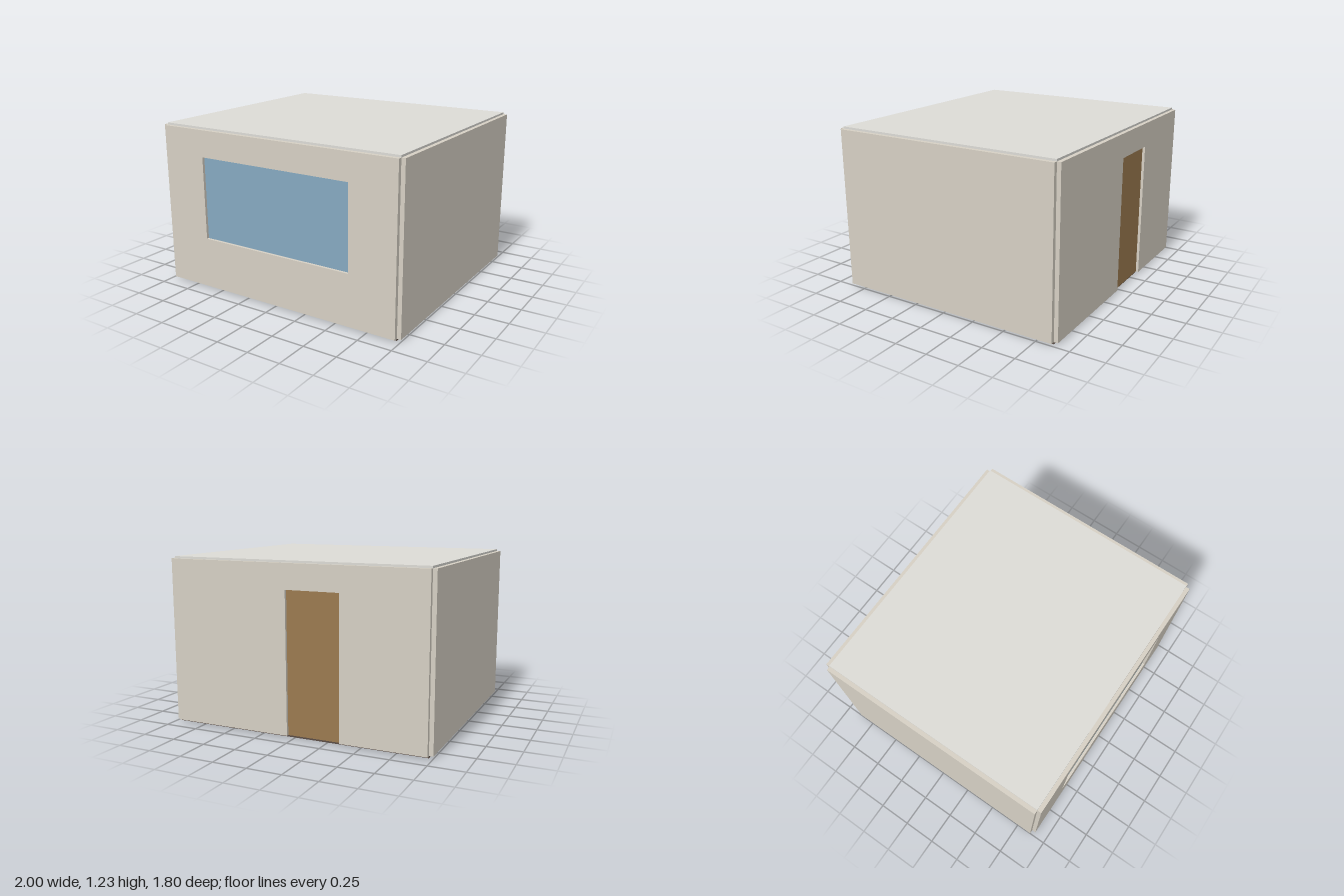
import * as THREE from 'three';

const HX = 0.97, HZ = 0.87;   // centre lines of the walls
const Y0 = 0.015, Y1 = 1.215; // centre planes of floor and roof slabs
const WALL = 0.06, SLAB = 0.03, PANEL = 0.02;

export function createModel() {
  const room = new THREE.Group();
  room.name = 'room';
  const paint = (color) => new THREE.MeshStandardMaterial({ color });
  const wallMat = paint(0xd6d0c4);

  const add = (name, geometry, material, x, y, z) => {
    const mesh = new THREE.Mesh(geometry, material);
    mesh.name = name;
    mesh.position.set(x, y, z);
    room.add(mesh);
  };
  const box = (name, w, h, d, material, x, y, z) =>
    add(name, new THREE.BoxGeometry(w, h, d), material, x, y, z);

  // closed outline from corner points
  const outline = (points, Type) => new Type(points.map(([x, y]) => new THREE.Vector2(x, y)));
  const extrude = (shape) => new THREE.ExtrudeGeometry(shape, { depth: WALL, bevelEnabled: false });

  // floor and roof slabs
  box('floor', HX * 2, SLAB, HZ * 2, paint(0x5a4c44), 0, Y0, 0);
  box('roof', HX * 2, SLAB, HZ * 2, paint(0xdcdbd6), 0, Y1, 0);

  // plain side walls
  for (const [name, s] of [['leftWall', 1], ['rightWall', -1]]) {
    box(name, WALL, Y1 - Y0, HZ * 2, wallMat, s * HX, (Y0 + Y1) / 2, 0);
  }

  // front wall with window opening
  const win = { x: 0.615, y0: 0.397, y1: 1.017 };
  const front = outline([[-HX, Y0], [HX, Y0], [HX, Y1], [-HX, Y1]], THREE.Shape);
  front.holes.push(outline(
    [[-win.x, win.y0], [-win.x, win.y1], [win.x, win.y1], [win.x, win.y0]], THREE.Path));
  add('frontWall', extrude(front), wallMat, 0, 0, HZ - WALL / 2);
  box('windowPane', win.x * 2, win.y1 - win.y0, PANEL, paint(0x86a9c0),
    0, (win.y0 + win.y1) / 2, HZ);

  // back wall, notched for the doorway
  const door = { x0: -0.35, x1: 0.05, top: 1.035 };
  const back = outline([
    [-HX, Y0], [door.x0, Y0], [door.x0, door.top], [door.x1, door.top],
    [door.x1, Y0], [HX, Y0], [HX, Y1], [-HX, Y1],
  ], THREE.Shape);
  add('backWall', extrude(back), wallMat, 0, 0, -HZ - WALL / 2);
  box('door', door.x1 - door.x0, door.top - Y0, PANEL, paint(0x9b7a50),
    (door.x0 + door.x1) / 2, (Y0 + door.top) / 2, -HZ);

  return room;
}
